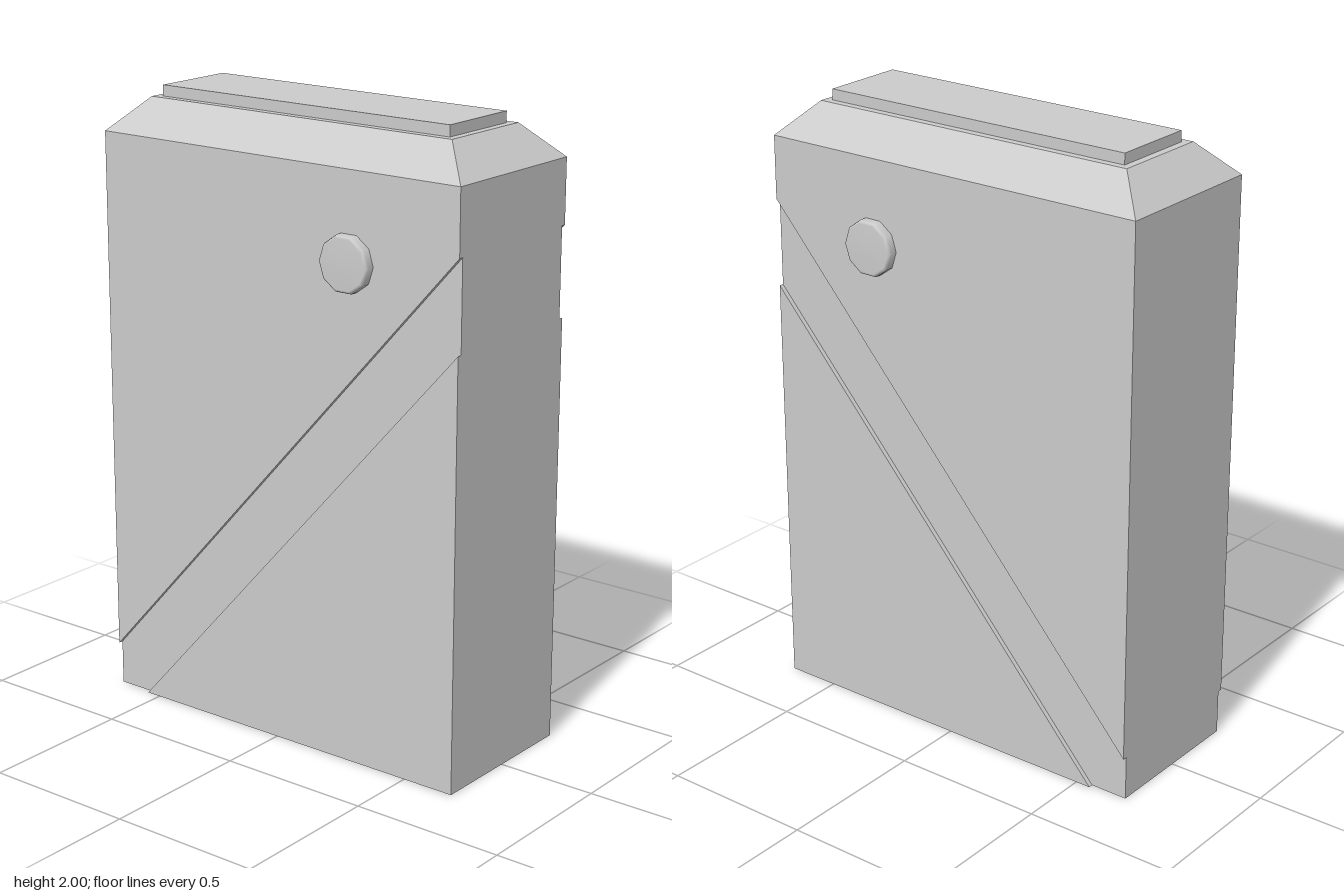
import * as THREE from 'three';

const HALF_X = 0.27, HALF_Z = 0.675, WALL_TOP = 1.86, GROOVE = 0.015;
const CORE_X = HALF_X - GROOVE;

export function createModel() {
  const group = new THREE.Group();
  const material = new THREE.MeshStandardMaterial({ color: 0xcccccc });

  const add = (name, geometry, x = 0, y = 0, z = 0) => {
    const mesh = new THREE.Mesh(geometry, material);
    mesh.name = name;
    mesh.position.set(x, y, z);
    group.add(mesh);
    return mesh;
  };

  // Core whose sides form the floor of the diagonal grooves
  add('bodyCore', new THREE.BoxGeometry(CORE_X * 2, WALL_TOP, HALF_Z * 2), 0, WALL_TOP / 2);

  // Side panel from [z, y] corners, extruded along x
  const panel = (corners) => {
    const shape = new THREE.Shape(corners.map(([z, y]) => new THREE.Vector2(-z, y)));
    return new THREE.ExtrudeGeometry(shape, { depth: GROOVE, bevelEnabled: false }).rotateY(Math.PI / 2);
  };
  const upperPanel = panel([[HALF_Z, 1.655], [HALF_Z, WALL_TOP], [-HALF_Z, WALL_TOP], [-HALF_Z, 0.145]]);
  const lowerPanel = panel([[HALF_Z, 0], [HALF_Z, 1.37], [-0.55, 0]]);

  // Round knob with softened rim, ten sides
  const knobProfile = [[0.09, 0], [0.09, 0.022], [0.087, 0.029], [0.08, 0.033], [0, 0.034]]
    .map(([r, h]) => new THREE.Vector2(r, h));
  const knob = new THREE.LatheGeometry(knobProfile, 10);

  for (const [side, s] of [['left', 1], ['right', -1]]) {
    const x = s > 0 ? CORE_X : -HALF_X;
    add(side + 'UpperPanel', upperPanel, x);
    add(side + 'LowerPanel', lowerPanel, x);
    add(side + 'Knob', knob, s * HALF_X, 1.583, 0.282).rotation.z = -s * Math.PI / 2;
  }

  // Sloped shoulder: a box with its top drawn inwards
  const shoulder = new THREE.BoxGeometry(HALF_X * 2, 0.105, HALF_Z * 2);
  const p = shoulder.attributes.position;
  for (let i = 0; i < p.count; i++) {
    if (p.getY(i) > 0) {
      p.setX(i, Math.sign(p.getX(i)) * 0.167);
      p.setZ(i, Math.sign(p.getZ(i)) * 0.57);
    }
  }
  const flatShoulder = shoulder.toNonIndexed();
  flatShoulder.computeVertexNormals();
  add('shoulder', flatShoulder, 0, WALL_TOP + 0.0525);

  // Raised plate on top
  add('topPlate', new THREE.BoxGeometry(0.284, 0.035, 1.09), 0, 1.9825);

  return group;
}
